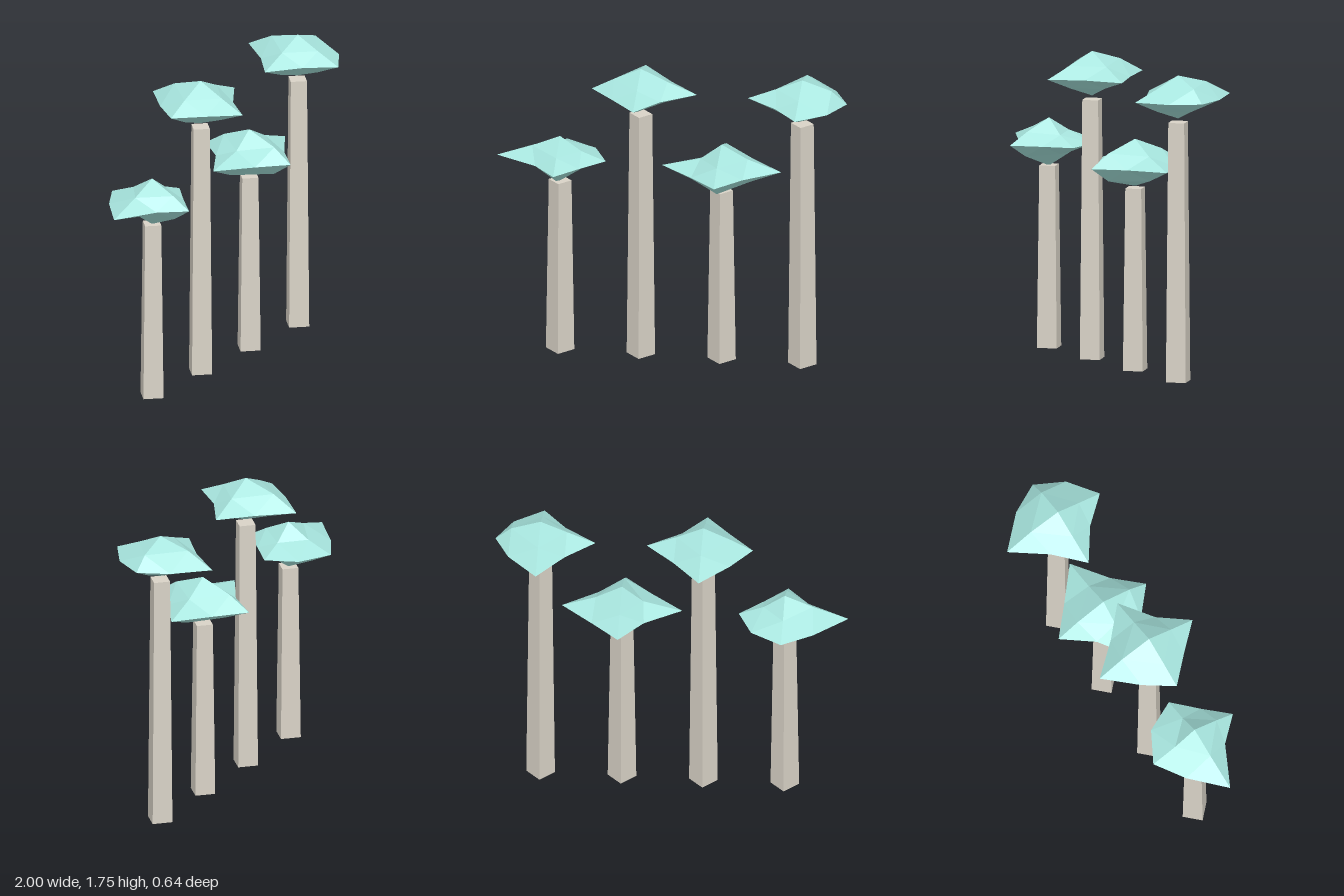
import * as THREE from 'three';

const FLATTEN = 0.45; // caps are squashed vertically
const CENTRE_Z = 0.02;

// Radii run +x, +z, -x, -z (the rim also has the diagonals between them).
const mushrooms = [
  { x: -0.64, stem: 1.04, cap: 1.17, top: 0.31, bottom: 0.3,
    rim: [0.26, 0.18, 0.26, 0.175, 0.36, 0.245, 0.28, 0.25],
    upper: [0.17, 0.21, 0.225, 0.185], lower: [0.17, 0.22, 0.17, 0.21] },
  { x: -0.18, stem: 1.48, cap: 1.615, top: 0.31, bottom: 0.255,
    rim: [0.32, 0.185, 0.295, 0.2, 0.28, 0.23, 0.335, 0.22],
    upper: [0.215, 0.21, 0.215, 0.26], lower: [0.185, 0.2, 0.205, 0.2] },
  { x: 0.28, stem: 1.04, cap: 1.17, top: 0.33, bottom: 0.267,
    rim: [0.34, 0.2, 0.29, 0.215, 0.34, 0.19, 0.305, 0.225],
    upper: [0.21, 0.25, 0.17, 0.25], lower: [0.225, 0.25, 0.24, 0.21] },
  { x: 0.74, stem: 1.48, cap: 1.615, top: 0.29, bottom: 0.255,
    rim: [0.255, 0.235, 0.285, 0.185, 0.31, 0.21, 0.345, 0.24],
    upper: [0.235, 0.2, 0.21, 0.26], lower: [0.19, 0.2, 0.21, 0.2] },
];

// Radius of a cap vertex lying in direction v
function capRadius(m, v) {
  if (v.y > 0.9) return m.top;
  if (v.y < -0.9) return m.bottom;
  const step = (Math.round(Math.atan2(v.z, v.x) / (Math.PI / 4)) + 8) % 8;
  if (Math.abs(v.y) < 0.1) return m.rim[step];
  return (v.y > 0 ? m.upper : m.lower)[step / 2];
}

// Once-subdivided octahedron with uneven radii, then flattened
function capGeometry(m) {
  const geometry = new THREE.OctahedronGeometry(1, 1);
  const position = geometry.attributes.position;
  const v = new THREE.Vector3();
  for (let i = 0; i < position.count; i++) {
    v.fromBufferAttribute(position, i).normalize();
    v.multiplyScalar(capRadius(m, v));
    position.setXYZ(i, v.x, v.y * FLATTEN, v.z);
  }
  geometry.computeVertexNormals();
  return geometry;
}

export function createModel() {
  const group = new THREE.Group();
  group.name = 'mushroomRow';
  const capMaterial = new THREE.MeshStandardMaterial({ color: 0xa8e6df, flatShading: true });
  const stemMaterial = new THREE.MeshStandardMaterial({ color: 0xd9d3c7, flatShading: true });

  for (const m of mushrooms) {
    const mushroom = new THREE.Group();
    mushroom.name = 'mushroom';
    mushroom.position.set(m.x, 0, CENTRE_Z);

    // Four-sided tapering stem, one corner to the front
    const stem = new THREE.Mesh(new THREE.CylinderGeometry(0.065, 0.081, m.stem, 4), stemMaterial);
    stem.name = 'stem';
    stem.position.y = m.stem / 2;

    const cap = new THREE.Mesh(capGeometry(m), capMaterial);
    cap.name = 'cap';
    cap.position.y = m.cap;

    mushroom.add(stem, cap);
    group.add(mushroom);
  }
  return group;
}
